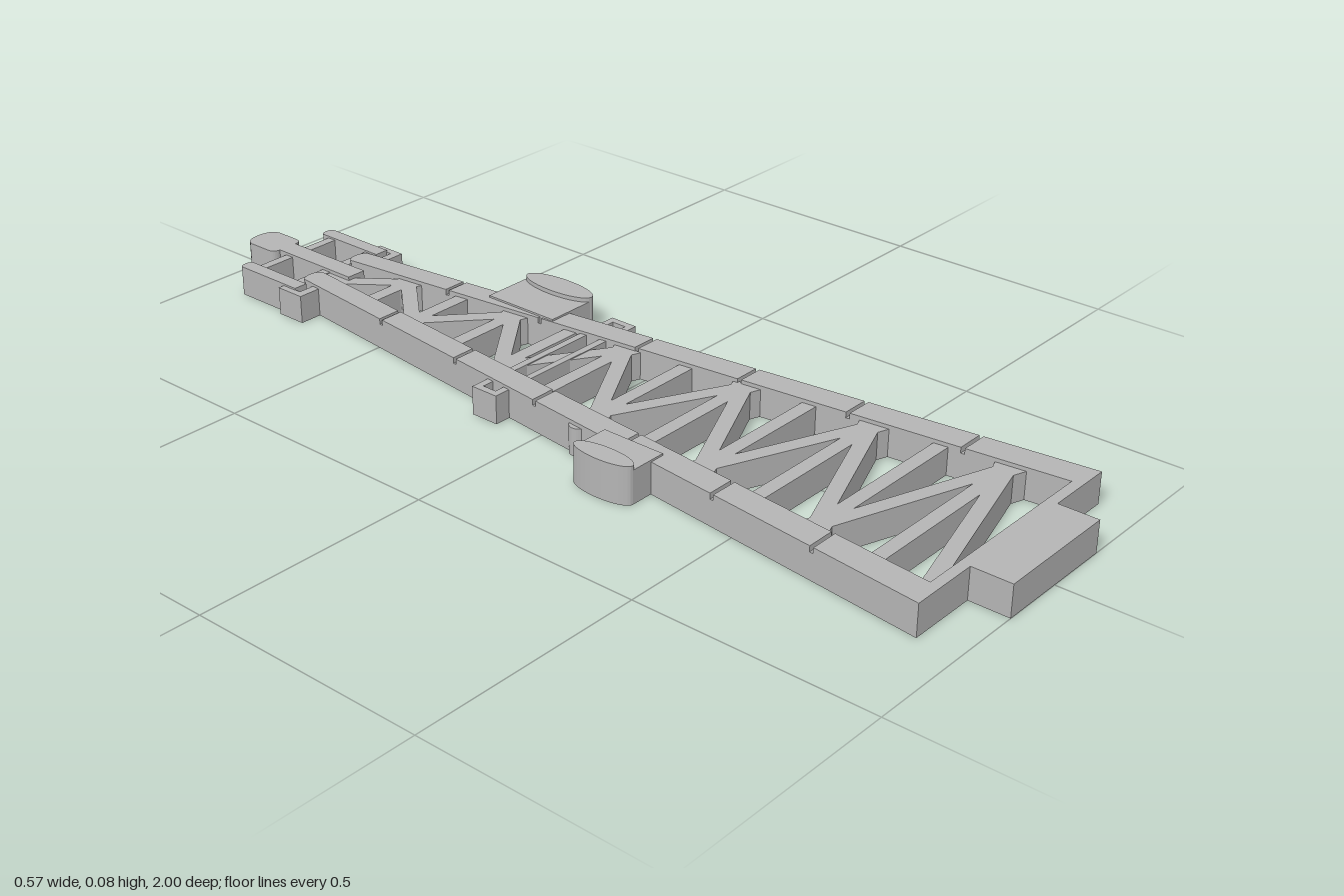
import * as THREE from 'three';

const H = 0.066;       // main frame height
const BRACE_H = 0.058; // lattice height

export function createModel() {
  const group = new THREE.Group();
  const grey = new THREE.MeshStandardMaterial({ color: 0xb4b4b4 });
  grey.name = 'stone grey';

  const addShape = (name, shape, y0, y1, curveSegments = 12) => {
    const geo = new THREE.ExtrudeGeometry(shape, { depth: y1 - y0, bevelEnabled: false, curveSegments });
    geo.rotateX(-Math.PI / 2);
    geo.translate(0, y0, 0);
    const mesh = new THREE.Mesh(geo, grey);
    mesh.name = name;
    group.add(mesh);
  };
  // upright prism over a plan outline of [x, z] points
  const prism = (name, pts, y0, y1) =>
    addShape(name, new THREE.Shape(pts.map(([x, z]) => new THREE.Vector2(x, -z))), y0, y1);
  const block = (name, x0, x1, z0, z1, y1 = H) =>
    prism(name, [[x0, z0], [x1, z0], [x1, z1], [x0, z1]], 0, y1);
  // straight bar of width w between two plan points
  const bar = (name, [ax, az], [bx, bz], w, y1) => {
    const len = Math.hypot(bx - ax, bz - az);
    const nx = (-(bz - az) / len) * w / 2, nz = ((bx - ax) / len) * w / 2;
    prism(name, [[ax + nx, az + nz], [bx + nx, bz + nz], [bx - nx, bz - nz], [ax - nx, az - nz]], 0, y1);
  };
  const ellipse = (name, x, z, rx, rz, y1) => {
    const s = new THREE.Shape();
    s.absellipse(x, -z, rx, rz, 0, Math.PI * 2);
    addShape(name, s, 0, y1, 16);
  };

  // tapering legs, with shallow grooves across their tops
  const outer = z => 0.285 - (0.917 - z) * 0.117;
  const inner = z => 0.222 - (0.917 - z) * 0.109;
  const legPart = (name, s, z0, z1, y0, y1) => prism(name,
    [[s * inner(z0), z0], [s * outer(z0), z0], [s * outer(z1), z1], [s * inner(z1), z1]], y0, y1);
  const cuts = [-0.49, -0.255, -0.02, 0.215, 0.45, 0.685];
  for (const s of [-1, 1]) {
    legPart('leg', s, -0.75, 0.917, 0, 0.054);
    const ends = [-0.75, ...cuts, 0.917];
    for (let i = 0; i < ends.length - 1; i++) {
      const a = ends[i] + (i ? 0.004 : 0);
      const b = ends[i + 1] - (i < cuts.length ? 0.004 : 0);
      legPart('legTopPanel', s, a, b, 0.054, H);
    }
    // rounded leg tip
    ellipse('legTip', s * 0.065, -0.748, 0.025, 0.014, H);
  }

  // base
  block('bottomRail', -0.235, 0.235, 0.895, 0.917);
  block('baseBlock', -0.136, 0.136, 0.91, 1);

  // lattice: level rungs and a zigzag of diagonals
  let previous = [-inner(0.885), 0.892];
  for (let i = 0; i < 12; i++) {
    const z = 0.778 - i * 0.1368;
    const side = i % 2 ? -1 : 1;
    const x = inner(z) + 0.004;
    if (i < 11) bar('rung', [-x, z], [x, z], 0.03, BRACE_H);
    const next = [side * (inner(z) - 0.004), Math.max(z, -0.71)];
    bar('diagonal', previous, next, 0.032, BRACE_H);
    // small gusset where the diagonals meet the leg
    prism('gusset', [[side * x, z - 0.032], [side * x, z + 0.032],
      [side * (x - 0.05), z + 0.014], [side * (x - 0.05), z - 0.014]], 0, BRACE_H);
    previous = next;
  }

  // large pod on the left, small pod on the right
  block('largePodArm', 0.1, 0.217, -0.4, -0.225, 0.07);
  ellipse('largePodCap', 0.217, -0.3125, 0.03, 0.0885, 0.079);
  block('smallPodArm', -0.262, -0.18, 0.16, 0.298, 0.07);
  ellipse('smallPodCap', -0.262, 0.229, 0.023, 0.069, 0.079);

  // middle platform frame
  block('platformBar', -0.2, 0.2, -0.155, -0.14, 0.06);
  block('platformBar', -0.2, 0.2, -0.108, -0.093, 0.06);
  for (const s of [-1, 1]) {
    block('platformEnd', s * 0.187, s * 0.202, -0.155, -0.093, 0.06);
    ellipse('sideLug', s * 0.178, 0.097, 0.021, 0.02, 0.058);
  }

  // upper cross frame with its posts and brackets
  block('upperCrossbar', -0.12, 0.12, -0.885, -0.865, 0.06);
  block('lowerCrossbar', -0.145, 0.145, -0.77, -0.748, 0.06);
  for (const s of [-1, 1]) {
    block('post', s * 0.1, s * 0.131, -0.9, -0.735, 0.064);
    ellipse('postTip', s * 0.1155, -0.9, 0.0155, 0.009, 0.064);
    block('bracketSide', s * 0.13, s * 0.145, -0.77, -0.705, 0.06);
    block('bracketFoot', s * 0.07, s * 0.145, -0.722, -0.703, 0.06);
  }

  // central mast with a rounded head
  block('mast', -0.022, 0.022, -0.93, -0.69);
  const head = new THREE.Shape();
  head.moveTo(-0.027, 0.905);
  head.lineTo(0.027, 0.905);
  head.quadraticCurveTo(0.04, 0.908, 0.04, 0.922);
  head.lineTo(0.04, 0.975);
  head.quadraticCurveTo(0.036, 1, 0, 1);
  head.quadraticCurveTo(-0.036, 1, -0.04, 0.975);
  head.lineTo(-0.04, 0.922);
  head.quadraticCurveTo(-0.04, 0.908, -0.027, 0.905);
  addShape('mastHead', head, 0, H, 6);

  return group;
}
